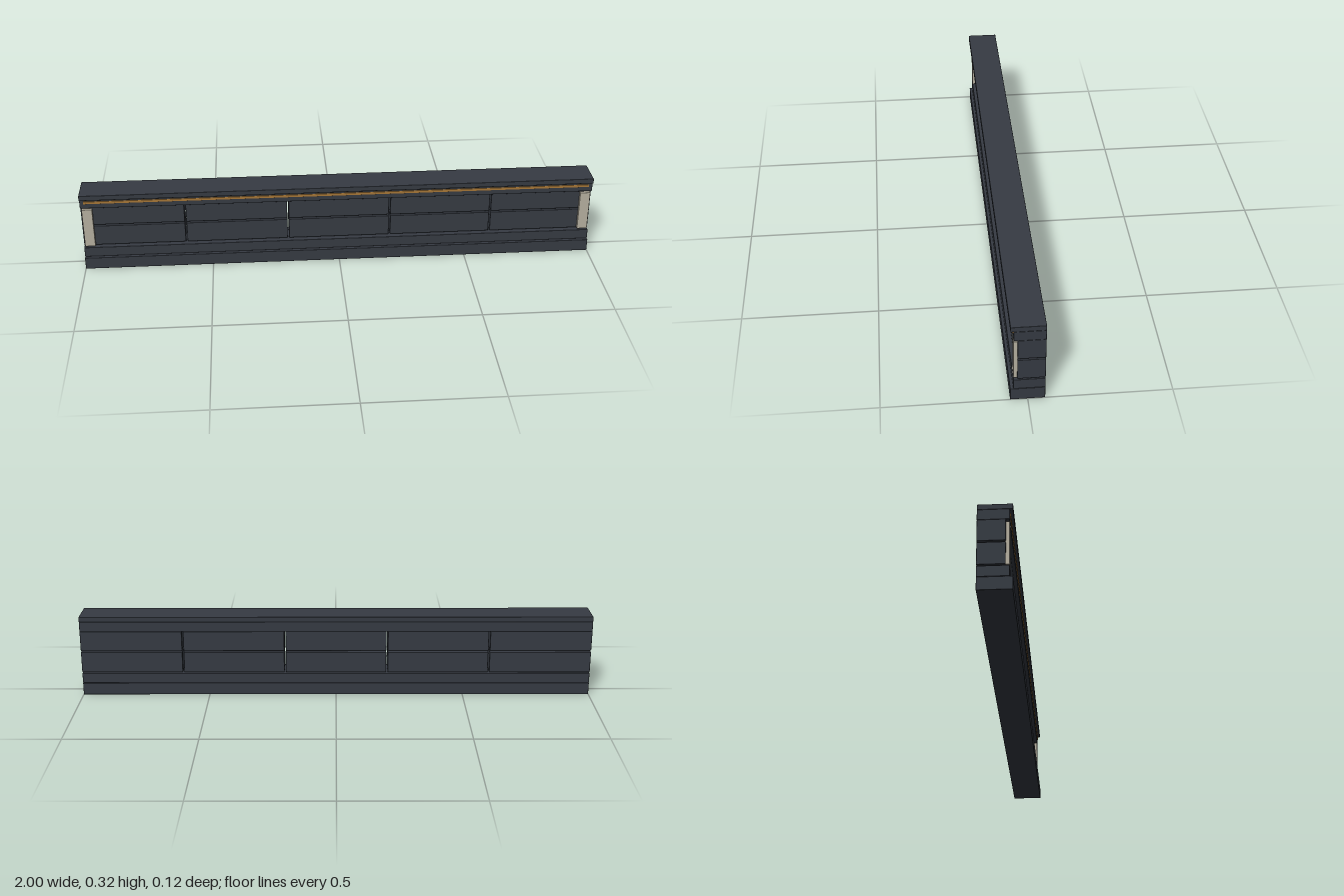
import * as THREE from 'three';
import { RoundedBoxGeometry } from 'three/addons/geometries/RoundedBoxGeometry.js';

const BACK = -0.06;

export function createModel() {
  const wall = new THREE.Group();
  wall.name = 'lowWall';

  const material = (name, color) => {
    const m = new THREE.MeshStandardMaterial({ color });
    m.name = name;
    return m;
  };
  const slate = material('darkSlate', 0x363b43);
  const stone = material('paleStone', 0xb8b2a2);
  const brass = material('brass', 0xa87838);

  // Slightly eased block given by its extents on each axis
  const block = (name, mat, [x0, x1], [y0, y1], [z0, z1], ease = 0.0015) => {
    const geo = new RoundedBoxGeometry(x1 - x0, y1 - y0, z1 - z0, 1, ease);
    const mesh = new THREE.Mesh(geo, mat);
    mesh.name = name;
    mesh.position.set((x0 + x1) / 2, (y0 + y1) / 2, (z0 + z1) / 2);
    wall.add(mesh);
  };

  // Full-length courses: stepped base, frieze and cap
  const full = [-1, 1];
  block('plinth', slate, full, [0, 0.048], [BACK, 0.06]);
  block('baseCourse', slate, full, [0.049, 0.089], [BACK, 0.049]);
  block('frieze', slate, full, [0.263, 0.302], [BACK, 0.049]);
  block('cap', slate, full, [0.302, 0.322], [BACK, 0.06]);

  // Two rows of five blocks with open joints
  const joint = 0.003;
  for (const rows of [[0.094, 0.177], [0.183, 0.263]]) {
    for (let i = 0; i < 5; i++) {
      const left = -1 + i * 0.4;
      const x0 = i === 0 ? left : left + joint;
      const x1 = i === 4 ? left + 0.4 : left + 0.4 - joint;
      block('wallBlock', slate, [x0, x1], rows, [BACK, 0.036]);
    }
  }

  // Pale pilasters at both ends of the front
  for (const side of [-1, 1]) {
    const c = side * 0.975;
    block('pilaster', stone, [c - 0.02, c + 0.02], [0.095, 0.256], [0.035, 0.049], 0.001);
  }

  // Brass strip along the frieze
  block('brassStrip', brass, [-0.985, 0.985], [0.283, 0.293], [0.047, 0.052], 0.0005);

  return wall;
}
